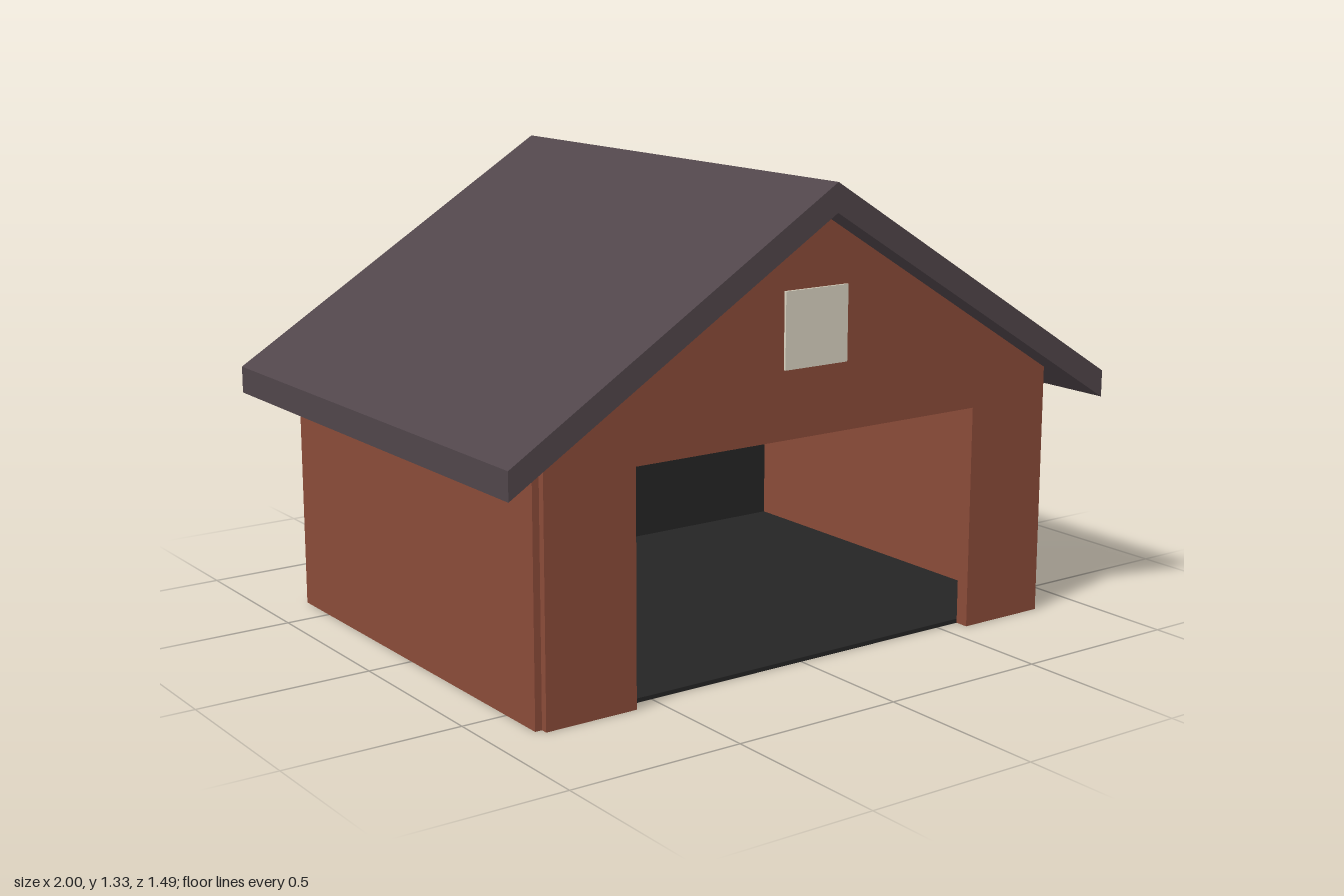
import * as THREE from 'three';

const HW = 0.85, HD = 0.64, T = 0.04; // wall centre lines and thickness
const SLOPE = 0.612, APEX = 1.25; // underside of the roof

const mat = (name, color) => Object.assign(new THREE.MeshStandardMaterial({ color }), { name });

function polygon(points) {
  return new THREE.Shape(points.map(([x, y]) => new THREE.Vector2(x, y)));
}

// Extrudes an outline along z, centred on z
function slab(points, depth, z) {
  const geo = new THREE.ExtrudeGeometry(polygon(points), { depth, bevelEnabled: false });
  return geo.translate(0, 0, z - depth / 2);
}

export function createModel() {
  const model = new THREE.Group();
  model.name = 'garage';
  const brick = mat('wall brown', 0x8a4b38);
  const slate = mat('roof slate', 0x50454a);
  const dark = mat('interior black', 0x252525);
  const pane = mat('window cream', 0xd9d3c1);

  const add = (name, geo, material, x = 0, y = 0, z = 0) => {
    const mesh = new THREE.Mesh(geo, material);
    mesh.name = name;
    mesh.position.set(x, y, z);
    model.add(mesh);
  };
  const box = (w, h, d) => new THREE.BoxGeometry(w, h, d);
  const under = (x) => APEX - SLOPE * Math.abs(x);

  // Gable walls, the front one with the doorway cut out
  const gableTop = [[HW, under(HW)], [0, APEX], [-HW, under(HW)]];
  add('backWall', slab([[-HW, 0], [HW, 0], ...gableTop], T, -HD), brick);
  const DW = 0.575, DH = 0.645;
  add('frontWall', slab([
    [-HW, 0], [-DW, 0], [-DW, DH], [DW, DH], [DW, 0], [HW, 0], ...gableTop,
  ], T, HD), brick);

  // Side walls stop short of the corners, leaving a small notch
  const sideH = under(HW + T / 2);
  for (const s of [-1, 1]) {
    add(s > 0 ? 'leftWall' : 'rightWall', box(T, sideH, HD * 2), brick, s * HW, sideH / 2, 0);
  }

  // Floor and dark lining of the back wall
  add('floor', box(HW * 2 - T, 0.012, HD * 2 - T), dark, 0, 0.006, 0);
  add('backLining', box(HW * 2 - T, 0.7, 0.006), dark, 0, 0.36, -HD + T / 2 + 0.003);

  // Gable window
  add('gableWindow', box(0.21, 0.21, 0.008), pane, 0, 0.94, HD + T / 2 + 0.003);

  // Overhanging roof, one slab for each slope
  for (const s of [-1, 1]) {
    const outline = [[0, APEX], [s, under(1)], [s, under(1) + 0.077], [0, 1.33]];
    add(s > 0 ? 'leftRoof' : 'rightRoof', slab(outline, 1.49, 0), slate);
  }
  return model;
}
